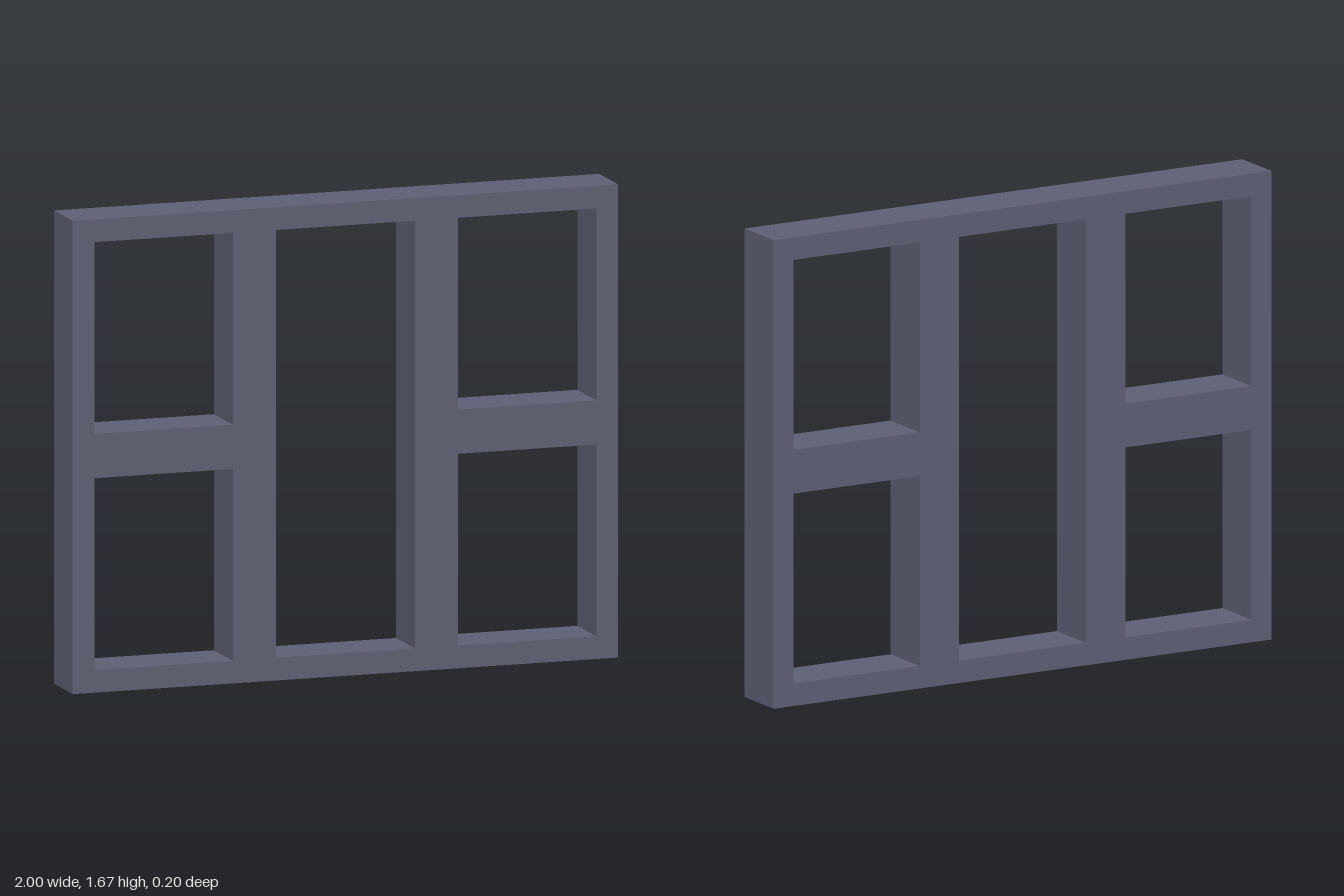
import * as THREE from 'three';

const HEIGHT = 1.67, DEPTH = 0.2;

// Traces a rectangle onto a Shape or Path
function rect(path, x0, y0, x1, y1) {
  path.moveTo(x0, y0);
  path.lineTo(x1, y0);
  path.lineTo(x1, y1);
  path.lineTo(x0, y1);
  path.closePath();
  return path;
}

export function createModel() {
  const group = new THREE.Group();
  group.name = 'windowFrame';

  // Outer outline of the frame
  const outline = rect(new THREE.Shape(), -1, 0, 1, HEIGHT);

  // Tall central opening
  outline.holes.push(rect(new THREE.Path(), -0.255, 0.08, 0.255, 1.59));

  // Two stacked openings on each side
  for (const side of [-1, 1]) {
    for (const [y0, y1] of [[0.08, 0.757], [0.913, 1.59]]) {
      const xs = [side * 0.413, side * 0.92].sort((a, b) => a - b);
      outline.holes.push(rect(new THREE.Path(), xs[0], y0, xs[1], y1));
    }
  }

  const geometry = new THREE.ExtrudeGeometry(outline, { depth: DEPTH, bevelEnabled: false });
  geometry.translate(0, 0, -DEPTH / 2);

  const frame = new THREE.Mesh(geometry, new THREE.MeshStandardMaterial({ color: 0x5c5e72 }));
  frame.name = 'frame';
  group.add(frame);
  return group;
}
